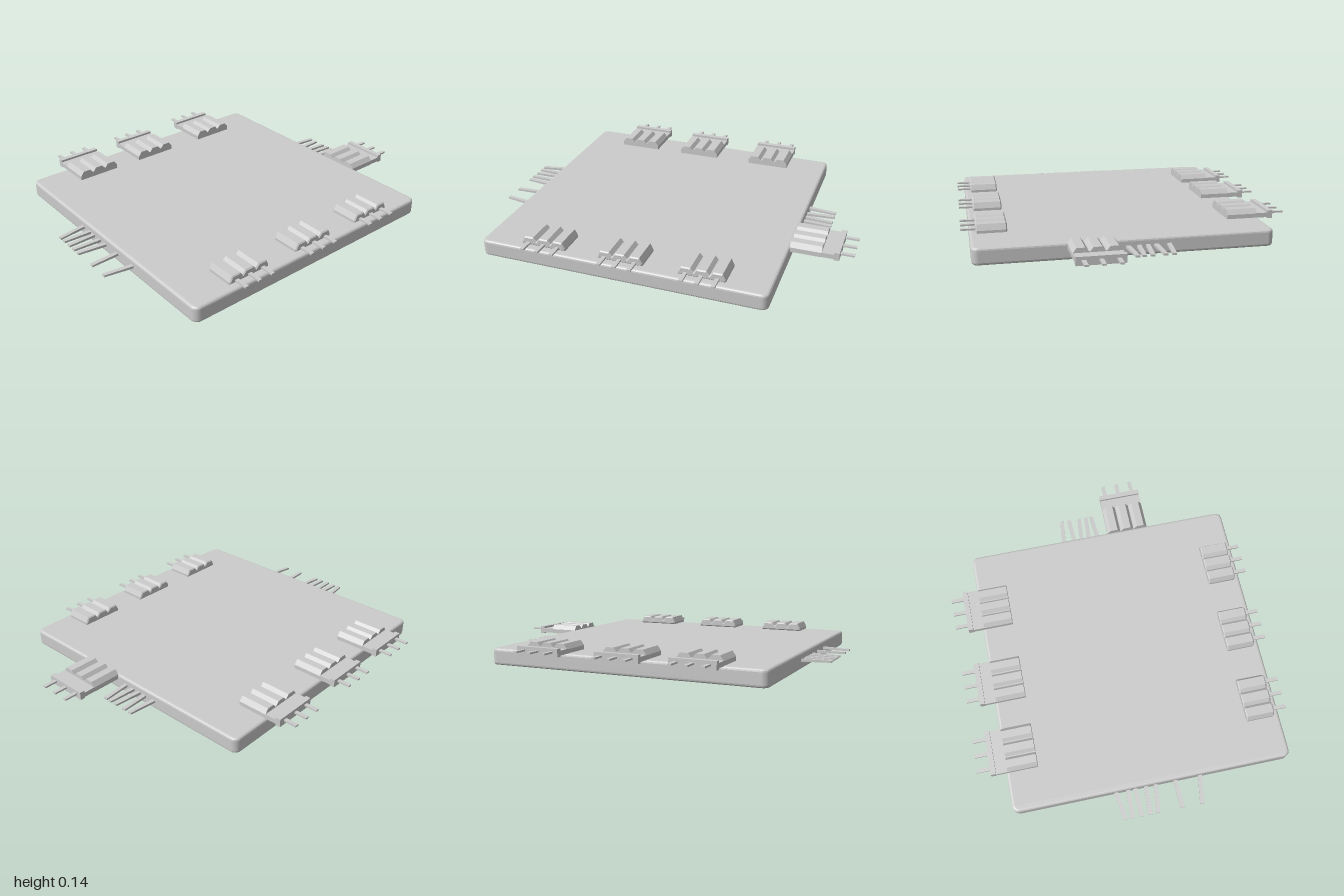
import * as THREE from 'three';

const material = new THREE.MeshStandardMaterial({ color: 0xcccccc, flatShading: true });

function add(parent, name, geometry, x = 0, y = 0, z = 0) {
  const mesh = new THREE.Mesh(geometry, material);
  mesh.name = name;
  mesh.position.set(x, y, z);
  parent.add(mesh);
  return mesh;
}

// Box given by its minimum and maximum on each axis
function block(parent, name, x0, x1, y0, y1, z0, z1) {
  return add(parent, name, new THREE.BoxGeometry(x1 - x0, y1 - y0, z1 - z0),
    (x0 + x1) / 2, (y0 + y1) / 2, (z0 + z1) / 2);
}

// Flat slab with rounded corners and softened rims
function boardGeometry(w, d, h, r, b) {
  const x = w / 2 - b, y = d / 2 - b;
  const s = new THREE.Shape();
  s.absarc(x - r, y - r, r, 0, Math.PI / 2);
  s.absarc(-x + r, y - r, r, Math.PI / 2, Math.PI);
  s.absarc(-x + r, -y + r, r, Math.PI, Math.PI * 1.5);
  s.absarc(x - r, -y + r, r, Math.PI * 1.5, Math.PI * 2);
  const g = new THREE.ExtrudeGeometry(s, {
    depth: h - 2 * b, bevelThickness: b, bevelSize: b, bevelSegments: 3, curveSegments: 5,
  });
  return g.translate(0, 0, b).rotateX(-Math.PI / 2);
}

// Three-humped housing: profile across z, extruded along x from 0 to length
function housingGeometry(length, y0, y1, bevel) {
  const pitch = 0.08, valley = y1 - 0.02, low = y1 - 0.026;
  const s = new THREE.Shape();
  const e = 0.12 - bevel, top = y1 - bevel;
  s.moveTo(-e, y0 + bevel);
  s.lineTo(e, y0 + bevel);
  s.lineTo(e, low - bevel);
  for (let i = 1; i >= -1; i--) {
    const c = i * pitch;
    s.lineTo(c + 0.021, top);
    s.lineTo(c - 0.021, top);
    if (i > -1) {
      s.lineTo(c - 0.037, valley - bevel);
      s.lineTo(c - 0.043, valley - bevel);
    }
  }
  s.lineTo(-e, low - bevel);
  const g = new THREE.ExtrudeGeometry(s, {
    depth: length - 2 * bevel, bevelEnabled: bevel > 0,
    bevelThickness: bevel, bevelSize: bevel, bevelSegments: 1,
  });
  // extrusion axis z becomes +x, profile x becomes -z
  return g.translate(0, 0, bevel).rotateY(Math.PI / 2);
}

// Connector with housing, plate, cross bar and pins, pointing along -x from its inner end at x = 0
function barConnector(name) {
  const g = new THREE.Group();
  g.name = name;
  add(g, 'housing', housingGeometry(0.163, 0.085, 0.136, 0), -0.163);
  block(g, 'plate', -0.23, -0.16, 0.087, 0.112, -0.12, 0.12);
  block(g, 'crossBar', -0.253, -0.225, 0.081, 0.124, -0.12, 0.12);
  for (const z of [-0.082, 0, 0.082]) {
    block(g, 'pin', -0.324, -0.25, 0.1, 0.109, z - 0.01, z + 0.01);
  }
  return g;
}

// Short connector with pins pointing along +x
function shortConnector(name) {
  const g = new THREE.Group();
  g.name = name;
  add(g, 'housing', housingGeometry(0.156, 0.094, 0.138, 0.006));
  for (const z of [-0.08, 0, 0.08]) {
    block(g, 'pin', 0.15, 0.23, 0.104, 0.113, z - 0.01, z + 0.01);
  }
  return g;
}

// Slanted flat lead from (xa, za) to (xb, zb), a little thinner at the tip
function lead(parent, name, xa, za, xb, zb) {
  const g = new THREE.BoxGeometry(1, 1, 1);
  const p = g.attributes.position;
  const sign = Math.sign(zb - za);
  for (let i = 0; i < p.count; i++) {
    const tip = p.getZ(i) * sign > 0;
    p.setXYZ(i, (tip ? xb : xa) + p.getX(i) * 0.022,
      0.048 + p.getY(i) * (tip ? 0.01 : 0.014), tip ? zb : za);
  }
  g.computeVertexNormals();
  add(parent, name, g);
}

export function createModel() {
  const model = new THREE.Group();
  model.name = 'circuitBoard';

  add(model, 'board', boardGeometry(1.52, 1.52, 0.088, 0.022, 0.014), 0.052, 0, 0.08);

  // Connectors on the two sides
  for (const z of [-0.335, 0.11, 0.505]) {
    const c = barConnector('rightConnector');
    c.position.set(-0.535, 0, z);
    model.add(c);
  }
  for (const z of [-0.345, 0.077, 0.495]) {
    const c = shortConnector('leftConnector');
    c.position.set(0.624, 0, z);
    model.add(c);
  }

  // Connector overhanging the back edge, set a little lower
  const back = barConnector('backConnector');
  back.rotation.y = -Math.PI / 2;
  back.position.set(0.235, -0.024, -0.676);
  model.add(back);

  // Bent leads: x at the board and x at the tip
  const front = [[-0.155, -0.131], [-0.086, -0.093], [-0.048, -0.043], [0.012, 0.003],
    [0.067, 0.046], [0.172, 0.179], [0.314, 0.286]];
  for (const [a, b] of front) lead(model, 'frontLead', a, 0.82, b, 0.99);
  const rear = [[-0.155, -0.138], [-0.086, -0.095], [-0.046, -0.032], [0, 0.009], [0.057, 0.042]];
  for (const [a, b] of rear) lead(model, 'backLead', a, -0.66, b, -0.83);

  return model;
}
